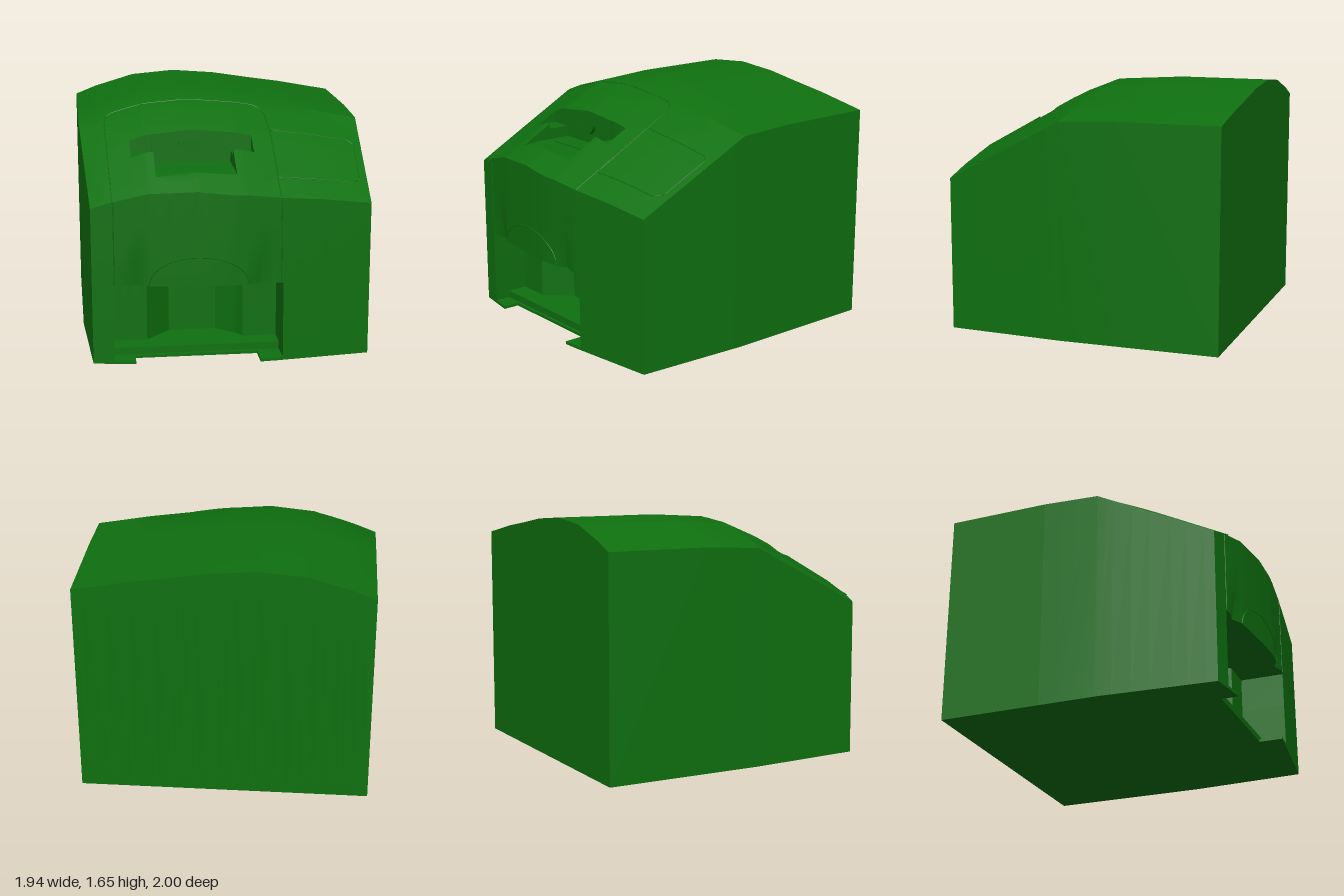
import * as THREE from 'three';
import { toCreasedNormals } from 'three/addons/utils/BufferGeometryUtils.js';

const material = new THREE.MeshStandardMaterial({ color: 0x0f7010, side: THREE.DoubleSide });

// Piecewise linear lookup, extended past the last point
function lerpTable(table, t) {
  let i = 0;
  while (i < table.length - 2 && t > table[i + 1][0]) i++;
  const [a, b] = [table[i], table[i + 1]];
  return a[1] + (b[1] - a[1]) * (t - a[0]) / (b[0] - a[0]);
}

const CROWN = [[-0.97, 0], [-0.82, 0.35], [-0.54, 0.84], [-0.23, 1], [0.08, 0.86], [0.33, 0.63], [0.6, 0.4], [0.97, 0]];
const RIDGE = [[-1, 1.65], [-0.3, 1.65], [0.09, 1.625], [0.33, 1.53], [0.45, 1.47], [0.99, 1.165]];
const EAVE = [[-1, 1.48], [-0.3, 1.48], [0.09, 1.46], [0.89, 1.03]];
const FRONT = [[-0.92, 0.89], [-0.5, 0.955], [-0.2, 0.985], [0, 0.993], [0.3, 0.967], [0.92, 0.89]];
const BACK_WALL = [[-0.79, 0.66], [-0.55, 0.66], [-0.39, 0.49], [-0.07, 0.49], [0.06, 0.6], [0.1, 0.66], [0.34, 0.66]];

const between = (v, a, b) => v > a && v < b;
const halfWidth = z => z < 0.09 ? 0.97 : 0.97 - 0.05 * (z - 0.09) / 0.8;
const clampX = (x, w) => Math.max(-w, Math.min(w, x));
const frontZ = x => lerpTable(FRONT, x);
const roofY = (x, z) => THREE.MathUtils.lerp(lerpTable(EAVE, z), lerpTable(RIDGE, z), lerpTable(CROWN, x));

// Roof height with the stepped shelf cut in
function topY(x, z) {
  let y = roofY(x, z);
  if (between(x, -0.64, 0.18) && between(z, 0.45, 0.6)) y = Math.min(y, 1.32);
  if (between(x, -0.49, 0.04) && between(z, 0.45, 0.82)) y = Math.min(y, 1.245);
  return y;
}

// Front depth with the dispensing bay, tray and floor notch cut in
function faceZ(x, y) {
  const z = frontZ(x);
  if (y < 0.02) return between(x, -0.64, 0.18) ? 0.82 : z;
  if (y < 0.54 && between(x, -0.78, 0.33)) return y < 0.07 ? 0.8 : lerpTable(BACK_WALL, x);
  if (y < 0.54) return z;
  // Shallow flutes beside the arch
  const flute = c => Math.max(0, 1 - Math.abs(x - c) / 0.08);
  return z - 0.03 * (flute(-0.64) + flute(0.18)) * Math.max(0, Math.min(1, (0.8 - y) / 0.25));
}

// Grid lines; stepped edges get a line on either side
const split = list => list.flatMap(v => [v - 0.0006, v + 0.0006]);
const lines = (smooth, stepped) => [...smooth, ...split(stepped)].sort((a, b) => a - b);
const XS = lines([-0.97, -0.9, -0.82, -0.72, -0.56, -0.55, -0.54, -0.5, -0.39, -0.23, -0.2, -0.07, 0, 0.06,
  0.08, 0.1, 0.26, 0.3, 0.45, 0.6, 0.75, 0.9, 0.97], [-0.78, -0.64, -0.49, 0.04, 0.18, 0.33]);
const ZS = lines([-1, -0.3, 0.09, 0.2, 0.33, 0.7, 0.88], [0.45, 0.6, 0.82]);
const YS = lines([0, 0.3, 0.62, 0.7, 0.8, 0.95], [0.02, 0.07, 0.54]);
const END = 9; // marks the row on the front crest

function gridMesh(name, us, vs, point, flip) {
  const pos = [];
  for (let i = 0; i < us.length - 1; i++) {
    for (let j = 0; j < vs.length - 1; j++) {
      const a = point(us[i], vs[j]), b = point(us[i + 1], vs[j]);
      const c = point(us[i + 1], vs[j + 1]), d = point(us[i], vs[j + 1]);
      pos.push(...(flip ? [a, c, b, a, d, c] : [a, b, c, a, c, d]).flat());
    }
  }
  const geometry = new THREE.BufferGeometry();
  geometry.setAttribute('position', new THREE.Float32BufferAttribute(pos, 3));
  const mesh = new THREE.Mesh(toCreasedNormals(geometry, 0.4), material);
  mesh.name = name;
  return mesh;
}

function topPoint(x, z) {
  const X = clampX(x, z === END ? 0.92 : halfWidth(z));
  const Z = z === END ? frontZ(X) : z;
  return [X, topY(X, Z), Z];
}

function frontPoint(x, y) {
  const X = clampX(x, 0.92);
  if (y === END) return topPoint(x, END);
  return [X, y, faceZ(X, y)];
}

// Thin seam following a list of points, subdivided and laid on the surface
const onRoof = (x, z) => new THREE.Vector3(x, roofY(x, z), z);
const onFront = (x, y) => new THREE.Vector3(x, y, faceZ(x, y));
function seam(name, points, place, closed = false) {
  const path = [];
  const count = closed ? points.length : points.length - 1;
  for (let i = 0; i < count; i++) {
    const a = points[i], b = points[(i + 1) % points.length];
    for (let k = 0; k < 8; k++) path.push(place(a[0] + (b[0] - a[0]) * k / 8, a[1] + (b[1] - a[1]) * k / 8));
  }
  if (!closed) path.push(place(...points[points.length - 1]));
  const curve = new THREE.CatmullRomCurve3(path, closed, 'catmullrom', 0.5);
  const mesh = new THREE.Mesh(new THREE.TubeGeometry(curve, path.length * 2, 0.004, 5, closed), material);
  mesh.name = name;
  return mesh;
}

export function createModel() {
  const model = new THREE.Group();
  model.name = 'machine';

  // Housing
  model.add(
    gridMesh('topCover', XS, [...ZS, END], topPoint, true),
    gridMesh('frontFace', XS, [...YS, END], frontPoint, false),
    gridMesh('backPanel', XS, [0, 1], (x, t) => [x, t * topY(x, -1), -1], true),
    gridMesh('base', XS, [0, 1], (x, t) => {
      const X = clampX(x, t ? 0.92 : 0.97);
      return [X, 0, t ? faceZ(X, 0) : -1];
    }, false)
  );
  for (const side of [-1, 1]) {
    const rows = [...ZS, 0.89];
    model.add(gridMesh(side > 0 ? 'leftPanel' : 'rightPanel', rows, [0, 1], (z, t) => {
      const x = side * halfWidth(z);
      return [x, t * topY(x, z), z];
    }, side > 0));
  }
  // Side walls close the base ahead of the taper
  for (const side of [-1, 1]) {
    model.add(gridMesh('baseEdge', [0, 1], [-1, 0.09, 0.89], (t, z) =>
      [side * (t ? halfWidth(z) : 0.9), 0, z], side < 0));
  }

  // Seams of the hinged front panel, arch and display cover
  model.add(seam('panelSeamTop', [[-0.78, 0.94], [-0.8, 0.2], [-0.785, 0.13], [-0.74, 0.11], [0.22, 0.115],
    [0.28, 0.14], [0.305, 0.2], [0.32, 0.4], [0.31, 0.962]], onRoof));
  for (const x of [-0.775, 0.315]) {
    model.add(seam('panelSeamFront', [[x, 0.55], [x, topPoint(x, END)[1]]], onFront));
  }
  const arch = [];
  for (let i = 0; i <= 16; i++) {
    const a = Math.PI * i / 16;
    arch.push([-0.225 - 0.325 * Math.cos(a), 0.545 + 0.19 * Math.sin(a)]);
  }
  model.add(seam('archSeam', arch, onFront));
  model.add(seam('displaySeam', [[0.32, 0.37], [0.86, 0.34], [0.9, 0.37], [0.88, 0.69], [0.83, 0.735], [0.32, 0.79]], onRoof, true));

  // Half-round spout on the shelf's rear wall
  const spout = new THREE.Mesh(new THREE.CylinderGeometry(0.08, 0.08, 0.03, 20, 1, false, -Math.PI / 2, Math.PI), material);
  spout.rotation.x = Math.PI / 2;
  spout.position.set(-0.23, 1.39, 0.463);
  spout.name = 'spout';
  // Make the rounded half hang downwards
  spout.rotation.z = spout.geometry.attributes.position.getZ(10) > 0 ? 0 : Math.PI;
  model.add(spout);

  // Slot strip on the shelf floor
  const slot = new THREE.Mesh(new THREE.BoxGeometry(0.36, 0.008, 0.03), material);
  slot.position.set(-0.23, 1.247, 0.605);
  slot.name = 'slotStrip';
  model.add(slot);

  return model;
}
